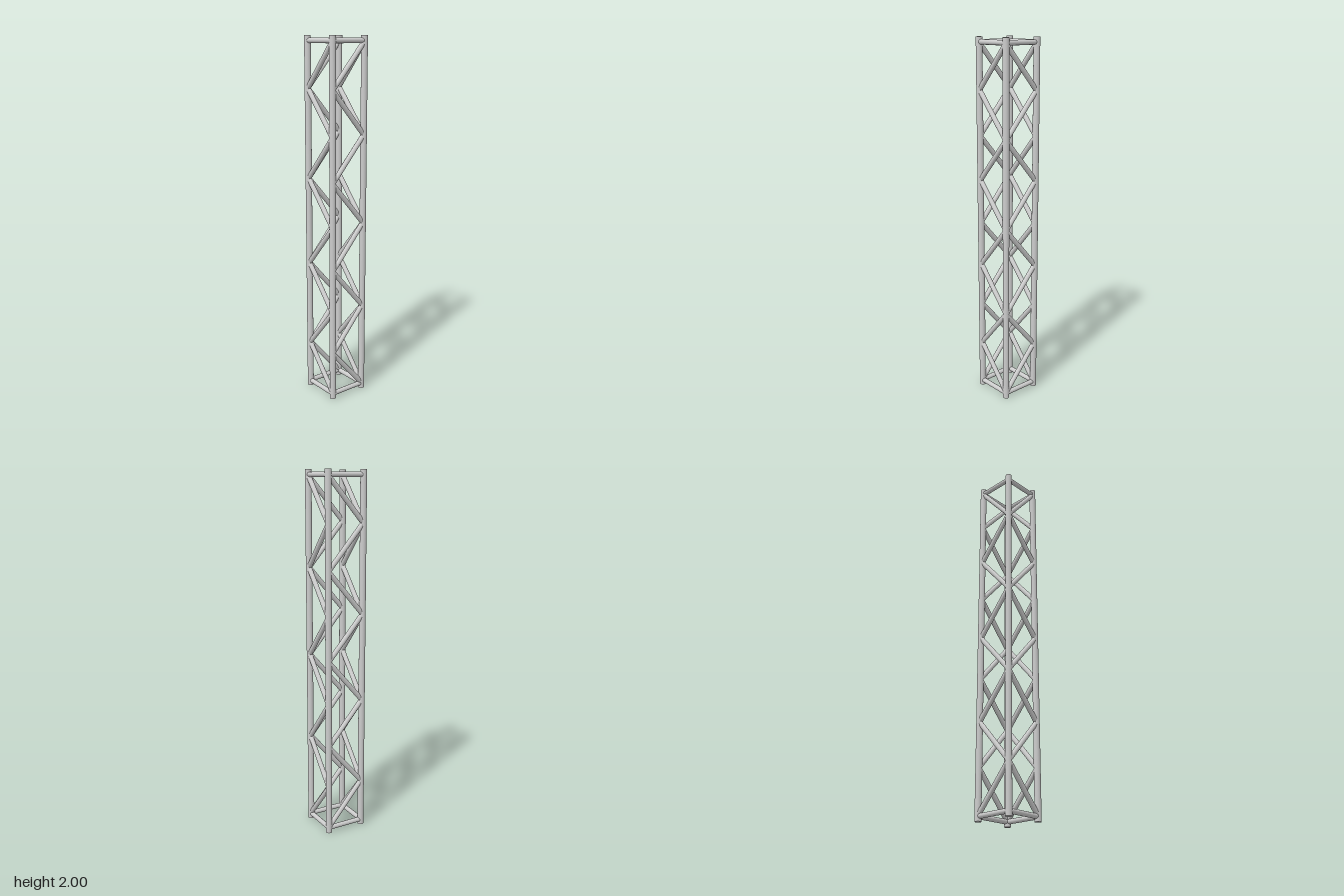
import * as THREE from 'three';

const HEIGHT = 2;
const HALF = 0.1055;       // post centre distance from the axis
const POST_R = 0.0175;
const TUBE_R = 0.0135;
const RAIL_Y = 0.027;      // rail centre inset from each end
const BRACES = 8;          // diagonals per face

const material = new THREE.MeshStandardMaterial({ color: 0xcccccc });

// Round bar between two points
function bar(name, a, b, radius) {
  const dir = new THREE.Vector3().subVectors(b, a);
  const mesh = new THREE.Mesh(new THREE.CylinderGeometry(radius, radius, dir.length(), 32), material);
  mesh.position.addVectors(a, b).multiplyScalar(0.5);
  mesh.quaternion.setFromUnitVectors(new THREE.Vector3(0, 1, 0), dir.normalize());
  mesh.name = name;
  return mesh;
}

// One face: end rails and a zigzag; at(s, y) gives a point on the post at side s
function face(name, at) {
  const group = new THREE.Group();
  group.name = name;
  for (const y of [RAIL_Y, HEIGHT - RAIL_Y]) {
    group.add(bar('rail', at(-1, y), at(1, y), TUBE_R));
  }
  const start = 0.03;
  const step = (HEIGHT - 2 * start) / BRACES;
  for (let i = 0; i < BRACES; i++) {
    const side = i % 2 ? -1 : 1;
    group.add(bar('diagonalBrace', at(side, start + i * step), at(-side, start + (i + 1) * step), TUBE_R));
  }
  return group;
}

export function createModel() {
  const model = new THREE.Group();
  model.name = 'boxTruss';

  // Corner posts
  for (const x of [-HALF, HALF]) {
    for (const z of [-HALF, HALF]) {
      model.add(bar('cornerPost', new THREE.Vector3(x, 0, z), new THREE.Vector3(x, HEIGHT, z), POST_R));
    }
  }

  // Front and back zigzags start at +x, side zigzags start at -z
  for (const d of [1, -1]) {
    model.add(face(d > 0 ? 'frontFace' : 'backFace', (s, y) => new THREE.Vector3(s * HALF, y, d * HALF)));
    model.add(face(d > 0 ? 'leftFace' : 'rightFace', (s, y) => new THREE.Vector3(d * HALF, y, -s * HALF)));
  }
  return model;
}
